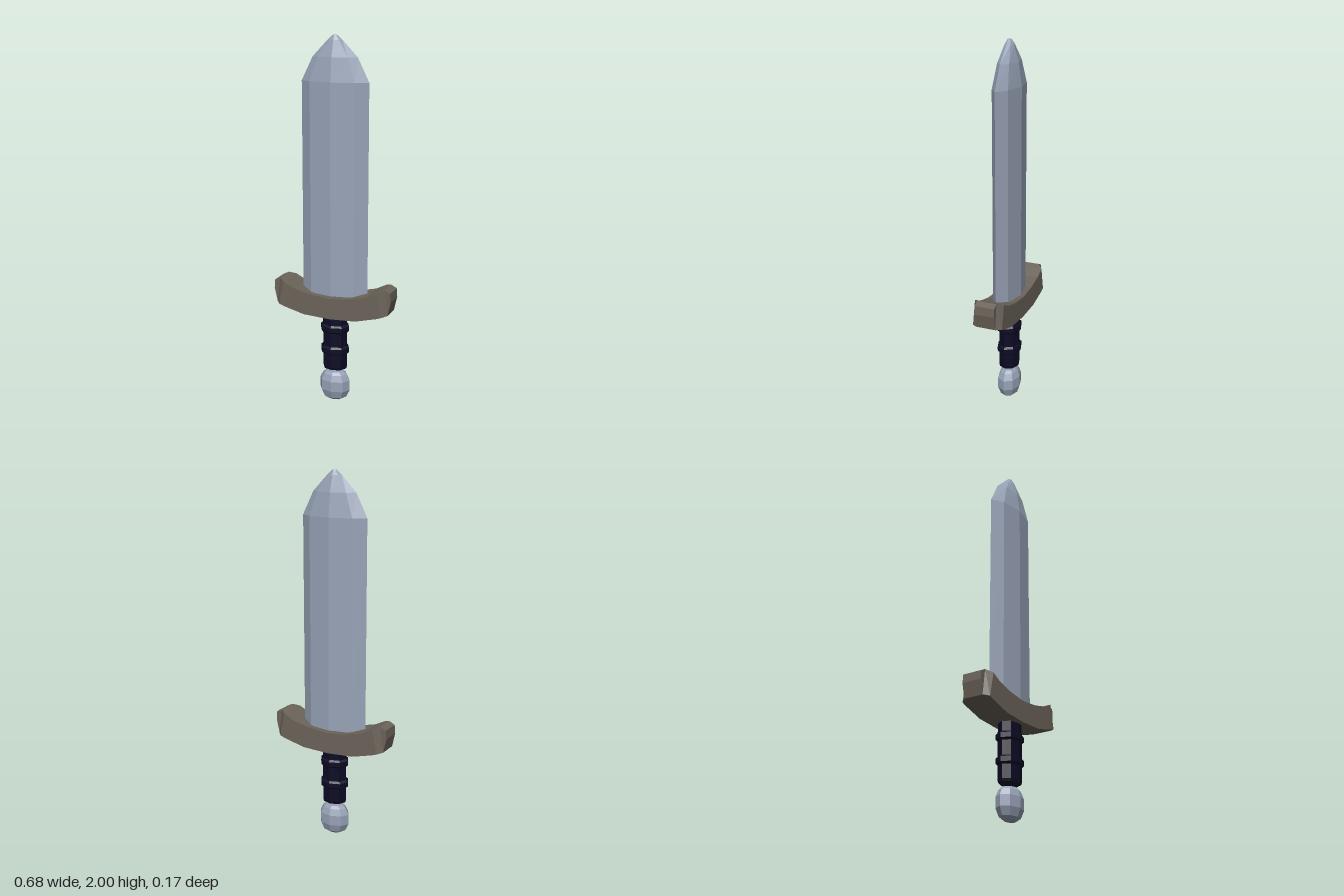
import * as THREE from 'three';

const steel = new THREE.MeshStandardMaterial({ name: 'steel', color: 0x98a3b7 });
const bronze = new THREE.MeshStandardMaterial({ name: 'dull bronze', color: 0x6c645a });
const leather = new THREE.MeshStandardMaterial({ name: 'dark navy leather', color: 0x0c0a24 });

// Flat-shaded solid through a row of equal-sized rings, capped at both ends
function loft(name, rings, material) {
  const pos = [];
  const tri = (a, b, c) => pos.push(...a, ...b, ...c);
  const n = rings[0].length;
  for (let r = 0; r + 1 < rings.length; r++) {
    const a = rings[r], b = rings[r + 1];
    for (let i = 0; i < n; i++) {
      const j = (i + 1) % n;
      tri(a[i], a[j], b[j]);
      tri(a[i], b[j], b[i]);
    }
  }
  const first = rings[0], last = rings[rings.length - 1];
  for (let i = 1; i + 1 < n; i++) {
    tri(first[0], first[i + 1], first[i]);
    tri(last[0], last[i], last[i + 1]);
  }
  const geometry = new THREE.BufferGeometry();
  geometry.setAttribute('position', new THREE.Float32BufferAttribute(pos, 3));
  geometry.computeVertexNormals();
  const mesh = new THREE.Mesh(geometry, material);
  mesh.name = name;
  return mesh;
}

// Eight-sided turned part, flattened front to back; profile rows are [radius, y]
function turned(name, profile, depth, material) {
  const rings = profile.map(([r, y]) => Array.from({ length: 8 }, (_, i) => {
    const a = (i / 8) * Math.PI * 2;
    return [Math.sin(a) * r, y, Math.cos(a) * r * depth];
  }));
  return loft(name, rings, material);
}

export function createModel() {
  const sword = new THREE.Group();
  sword.name = 'sword';

  // Blade: pointed eight-sided section, rows are [y, half width, half depth]
  const section = [[0, 1], [0.66, 0.66], [1, 0], [0.66, -0.66], [0, -1], [-0.66, -0.66], [-1, 0], [-0.66, 0.66]];
  const bladeRows = [
    [0.62, 0.188, 0.067], [1.765, 0.188, 0.067], [1.89, 0.125, 0.049],
    [1.975, 0.042, 0.025], [2.0, 0.014, 0.011],
  ];
  sword.add(loft('blade',
    bladeRows.map(([y, w, d]) => section.map(([x, z]) => [x * w, y, z * d])), steel));

  // Guard: upswept bar with bevelled ends, rows are [top x, top y, bottom x, bottom y, half depth]
  const half = [
    [0.115, 0.622, 0.15, 0.502, 0.083],
    [0.21, 0.645, 0.27, 0.533, 0.083],
    [0.27, 0.675, 0.298, 0.543, 0.083],
    [0.303, 0.688, 0.322, 0.548, 0.055],
    [0.335, 0.672, 0.339, 0.625, 0.055],
  ];
  const mirrored = half.map(([tx, ty, bx, by, d]) => [-tx, ty, -bx, by, d]).reverse();
  const guardRows = [...mirrored, [0, 0.61, 0, 0.494, 0.083], ...half];
  sword.add(loft('guard', guardRows.map(([tx, ty, bx, by, d]) =>
    [[bx, by, d], [bx, by, -d], [tx, ty, -d], [tx, ty, d]]), bronze));

  // Grip with two raised bands
  sword.add(turned('grip', [[0.066, 0.185], [0.071, 0.2], [0.071, 0.52]], 0.8, leather));
  for (const y of [0.297, 0.422]) {
    sword.add(turned('gripBand', [
      [0.07, y - 0.024], [0.083, y - 0.013], [0.083, y + 0.013], [0.07, y + 0.024],
    ], 0.8, leather));
  }

  // Pommel
  sword.add(turned('pommel', [
    [0.04, 0], [0.068, 0.016], [0.088, 0.058], [0.088, 0.115], [0.07, 0.15], [0.052, 0.165],
  ], 0.7, steel));

  return sword;
}
